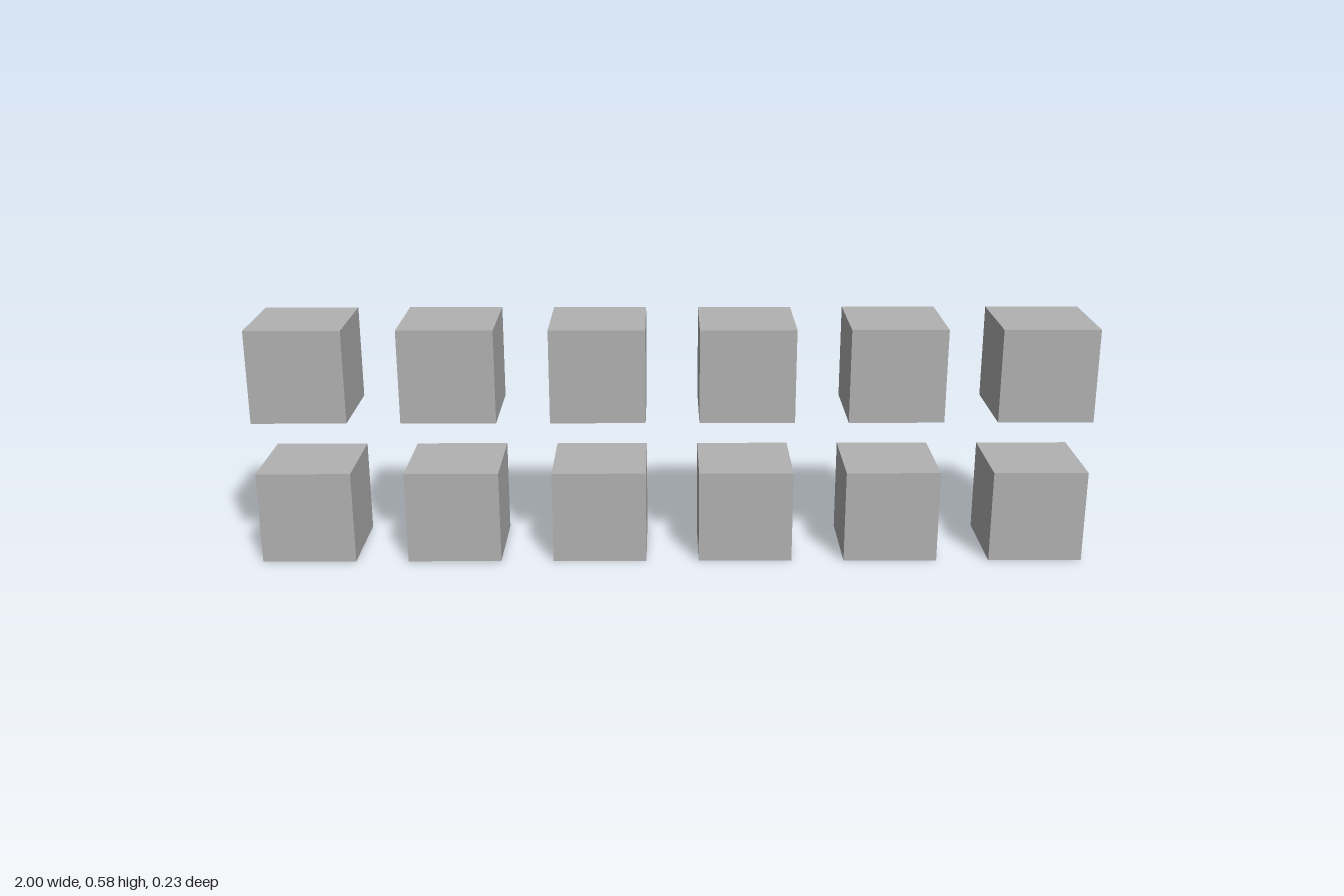
import * as THREE from 'three';

const COLUMNS = 6, ROWS = 2;
const PITCH = 0.3546; // spacing between cube centres
const SIZE = 0.227;   // cube edge

export function createModel() {
  const model = new THREE.Group();
  model.name = 'cubeGrid';
  const grey = new THREE.MeshStandardMaterial({ color: 0xb2b2b2 });
  grey.name = 'grey';
  const cube = new THREE.BoxGeometry(SIZE, SIZE, SIZE);

  // Two separate rows of evenly spaced cubes
  for (let r = 0; r < ROWS; r++) {
    const row = new THREE.Group();
    row.name = r === 0 ? 'lowerRow' : 'upperRow';
    row.position.y = SIZE / 2 + r * PITCH;
    for (let c = 0; c < COLUMNS; c++) {
      const mesh = new THREE.Mesh(cube, grey);
      mesh.name = `cube${c + 1}`;
      mesh.position.x = (c - (COLUMNS - 1) / 2) * PITCH;
      row.add(mesh);
    }
    model.add(row);
  }
  return model;
}
